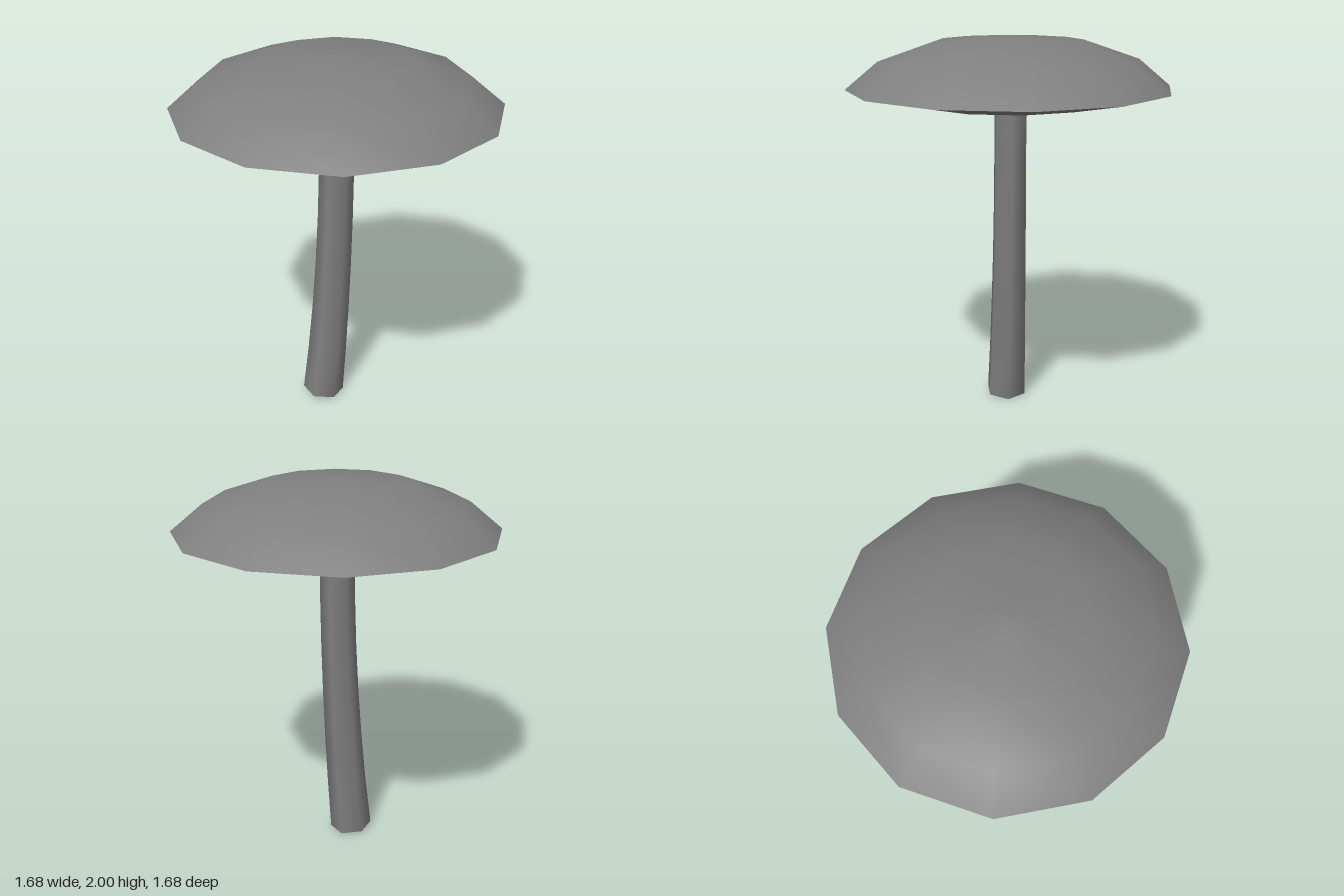
import * as THREE from 'three';

const grey = new THREE.MeshStandardMaterial({ color: 0x7f7f7f, side: THREE.DoubleSide });
grey.name = 'grey';

// Twelve-sided surface turned from a profile of [radius, height] pairs
function turned(name, profile) {
  const points = profile.map(([r, y]) => new THREE.Vector2(r, y));
  const mesh = new THREE.Mesh(new THREE.LatheGeometry(points, 12), grey);
  mesh.name = name;
  return mesh;
}

// Open six-sided tube that widens and bends away from the axis towards its foot
function createStem() {
  const foot = 0.011, top = 1.68, bend = 0.062, bendZ = 0.052;
  const height = top - foot;
  const geometry = new THREE.CylinderGeometry(1, 1, 1, 6, 6, true);
  const pos = geometry.attributes.position;
  for (let i = 0; i < pos.count; i++) {
    const t = 0.5 - pos.getY(i); // 0 at the cap, 1 at the foot
    const radius = 0.09 + 0.023 * t * t;
    const x = pos.getX(i) * radius;
    const z = pos.getZ(i) * radius;
    // Each ring tilts to stay square to the bent centre line
    const tilt = (2 * t / height) * (-bend * x + bendZ * z);
    pos.setXYZ(i, x - bend * t * t, top - height * t + tilt, z + bendZ * t * t);
  }
  geometry.computeVertexNormals();
  // Average the normals across the seam
  const normal = geometry.attributes.normal;
  const a = new THREE.Vector3(), b = new THREE.Vector3();
  for (let row = 0; row <= 6; row++) {
    const first = row * 7, last = first + 6;
    a.fromBufferAttribute(normal, first).add(b.fromBufferAttribute(normal, last)).normalize();
    normal.setXYZ(first, a.x, a.y, a.z);
    normal.setXYZ(last, a.x, a.y, a.z);
  }
  const mesh = new THREE.Mesh(geometry, grey);
  mesh.name = 'stem';
  return mesh;
}

export function createModel() {
  const model = new THREE.Group();
  model.name = 'mushroom';

  // Cap: domed top and shallow underside meeting at a sharp rim
  const cap = new THREE.Group();
  cap.name = 'cap';
  cap.add(
    turned('capTop', [[0.84, 1.737], [0.672, 1.876], [0.38, 1.976], [0, 2]]),
    turned('capUnderside', [[0, 1.67], [0.5, 1.67], [0.84, 1.737]])
  );

  model.add(cap, createStem());
  return model;
}
